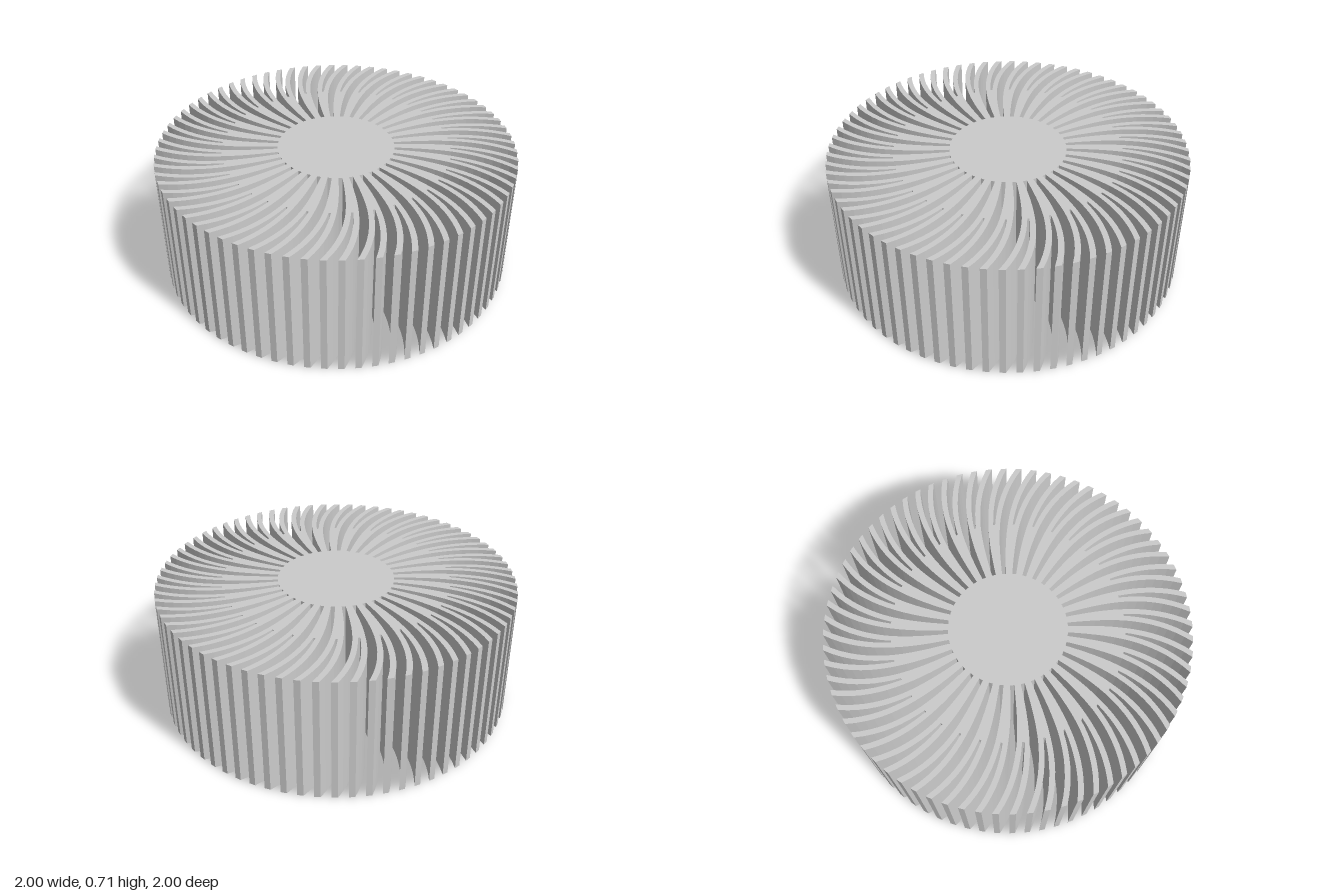
import * as THREE from 'three';

const HEIGHT = 0.715, CORE = 0.325, SPLIT = 0.635, RIM = 1.0, FINS = 36;
const DEG = Math.PI / 180;
const material = new THREE.MeshStandardMaterial({ color: 0xcccccc });

// Point on a fin: radius r, angular offset (degrees) from the fin's swept centre line
function finPoint(r, offset) {
  const t = Math.max(0, (r - CORE) / (RIM - CORE));
  const a = (offset - 10 * Math.pow(t, 2.2)) * DEG;
  return new THREE.Vector2(r * Math.cos(a), r * Math.sin(a));
}

// Edge running between two radii while its offset changes evenly
function edge(r0, r1, off0, off1, steps) {
  const pts = [];
  for (let i = 0; i <= steps; i++) {
    const t = i / steps;
    pts.push(finPoint(r0 + (r1 - r0) * t, off0 + (off1 - off0) * t));
  }
  return pts;
}

// Outline of a curved fin that forks into two blades
function finShape() {
  return new THREE.Shape([
    ...edge(CORE - 0.004, SPLIT, -3.1, -3.0, 6),
    ...edge(SPLIT, RIM, -3.0, -3.45, 8).slice(1),
    ...edge(RIM, SPLIT, -1.55, -0.5, 8),
    ...edge(SPLIT, RIM, 0.5, 1.55, 8),
    ...edge(RIM, SPLIT, 3.45, 3.0, 8),
    ...edge(SPLIT, CORE - 0.004, 3.0, 3.1, 6).slice(1),
  ]);
}

export function createModel() {
  const model = new THREE.Group();
  model.name = 'radialHeatSink';

  // Solid round core
  const core = new THREE.Mesh(new THREE.CylinderGeometry(CORE, CORE, HEIGHT, 72), material);
  core.name = 'core';
  core.position.y = HEIGHT / 2;
  model.add(core);

  // Ring of forked fins
  const finGeometry = new THREE.ExtrudeGeometry(finShape(), { depth: HEIGHT, bevelEnabled: false });
  finGeometry.rotateX(-Math.PI / 2);
  const fins = new THREE.Group();
  fins.name = 'fins';
  for (let i = 0; i < FINS; i++) {
    const fin = new THREE.Mesh(finGeometry, material);
    fin.name = 'forkedFin';
    fin.rotation.y = (i / FINS) * Math.PI * 2;
    fins.add(fin);
  }
  model.add(fins);
  return model;
}
